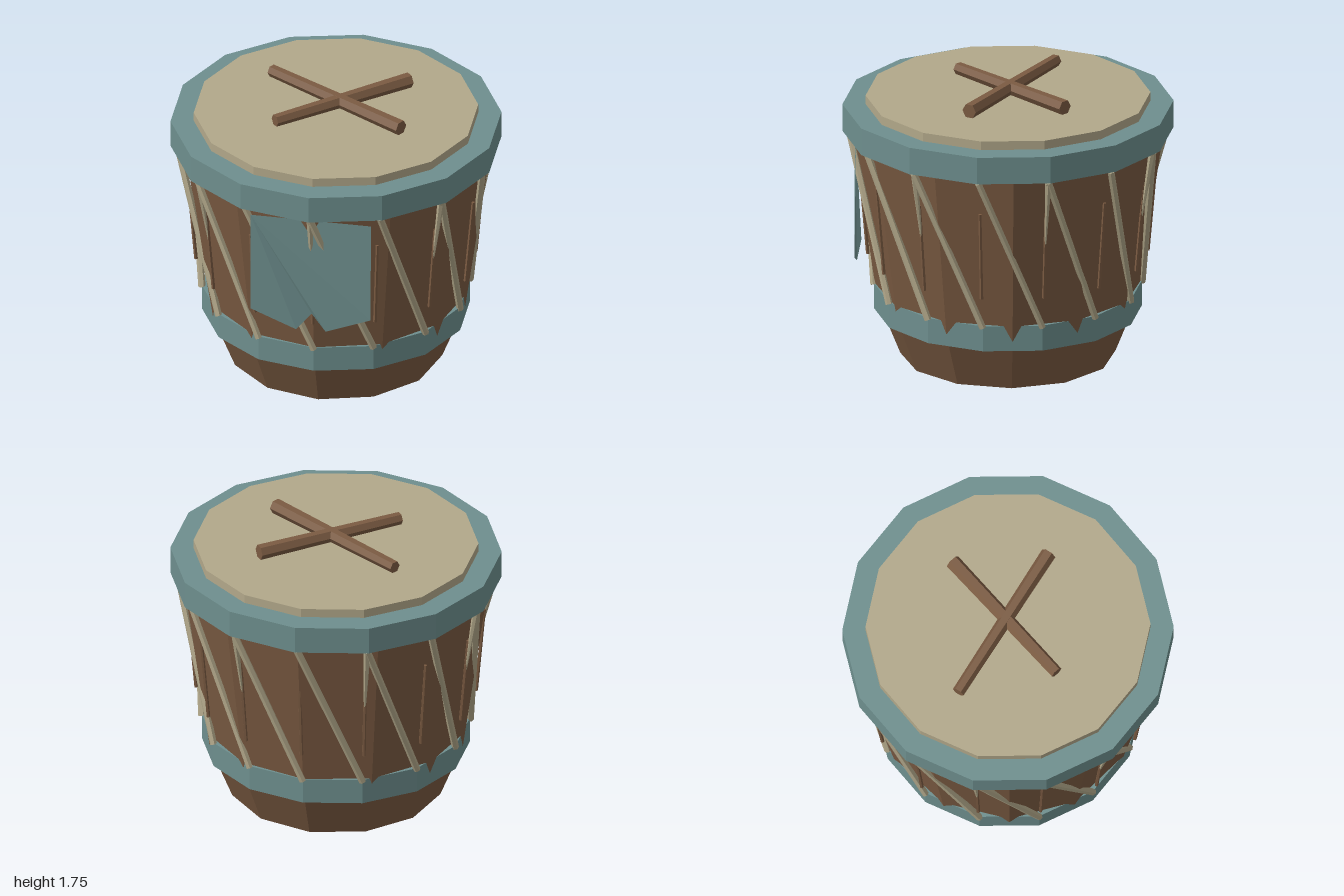
import * as THREE from 'three';

const SIDES = 14;

function makeMaterial(name, hex, side = THREE.FrontSide) {
  const m = new THREE.MeshStandardMaterial({ color: hex, flatShading: true, side });
  m.name = name;
  return m;
}

// Point on the drum at spoke k (spoke 0 faces the front)
function spoke(k, radius, y) {
  const a = (k / SIDES) * Math.PI * 2;
  return new THREE.Vector3(Math.sin(a) * radius, y, Math.cos(a) * radius);
}

export function createModel() {
  const drum = new THREE.Group();
  drum.name = 'drum';
  const wood = makeMaterial('brown wood', 0x7b5b42);
  const hide = makeMaterial('tan hide', 0xb2a88a);
  const teal = makeMaterial('teal paint', 0x6e8f8e);
  const cloth = makeMaterial('teal cloth', 0x6e8f8e, THREE.DoubleSide);

  function add(name, geometry, material, parent = drum) {
    const mesh = new THREE.Mesh(geometry, material);
    mesh.name = name;
    parent.add(mesh);
    return mesh;
  }

  // Upright prism between two heights
  function prism(name, rTop, rBottom, y0, y1, sides, material) {
    const g = new THREE.CylinderGeometry(rTop, rBottom, y1 - y0, sides);
    add(name, g, material).position.y = (y0 + y1) / 2;
  }

  // Thin rod running from a to b
  function rod(name, a, b, rA, rB, sides, material, parent) {
    const dir = b.clone().sub(a);
    const g = new THREE.CylinderGeometry(rB, rA, dir.length(), sides);
    const mesh = add(name, g, material, parent);
    mesh.position.copy(a).add(b).multiplyScalar(0.5);
    mesh.quaternion.setFromUnitVectors(new THREE.Vector3(0, 1, 0), dir.normalize());
  }

  // Wooden shell, hoops and drum skin
  prism('base', 0.79, 0.65, 0, 0.35, 12, wood);
  prism('shell', 0.945, 0.79, 0.35, 1.45, 12, wood);
  prism('lowerHoop', 0.81, 0.81, 0.29, 0.45, SIDES, teal);
  prism('upperHoop', 1, 1, 1.43, 1.6, SIDES, teal);
  prism('skin', 0.86, 0.86, 1.59, 1.655, SIDES, hide);

  // Slanted lacing, small pegs, and a loose cord end on every second spoke
  const lacing = new THREE.Group();
  lacing.name = 'lacing';
  drum.add(lacing);
  for (let k = 0; k < SIDES; k++) {
    rod('rope', spoke(k, 0.955, 1.42), spoke(k + 1, 0.81, 0.44), 0.022, 0.022, 6, hide, lacing);
    rod('peg', spoke(k, 0.845, 0.64), spoke(k, 0.895, 1.2), 0.012, 0.01, 5, wood, lacing);
    if (k % 2 === 0) {
      rod('cordEnd', spoke(k, 0.95, 1.42), spoke(k, 0.875, 0.97), 0.022, 0.006, 6, hide, lacing);
    }
  }

  // Crossed drumsticks, each thicker at its +x end
  function drumstick(x0, z0, x1, z1) {
    const dx = x1 - x0, dz = z1 - z0;
    const g = new THREE.CylinderGeometry(0.047, 0.038, Math.hypot(dx, dz), 6);
    g.rotateZ(-Math.PI / 2);
    const mesh = add('drumstick', g, wood);
    mesh.position.set((x0 + x1) / 2, 1.705, (z0 + z1) / 2);
    mesh.rotation.y = Math.atan2(-dz, dx);
  }
  drumstick(-0.445, -0.305, 0.44, 0.25);
  drumstick(-0.325, 0.29, 0.395, -0.33);

  // Front banner: a folded swallowtail cloth, fanned from its first corner
  const outline = [
    [-0.37, 1.4, 0.912], [-0.37, 0.75, 0.915], [-0.09, 0.63, 0.915], [0, 0.73, 0.885],
    [0.09, 0.63, 0.915], [0.37, 0.75, 0.94], [0.37, 1.4, 0.932],
  ];
  const corners = [];
  for (let i = 1; i < outline.length - 1; i++) {
    corners.push(...outline[0], ...outline[i], ...outline[i + 1]);
  }
  const banner = new THREE.BufferGeometry();
  banner.setAttribute('position', new THREE.Float32BufferAttribute(corners, 3));
  banner.computeVertexNormals();
  add('banner', banner, cloth);

  return drum;
}
